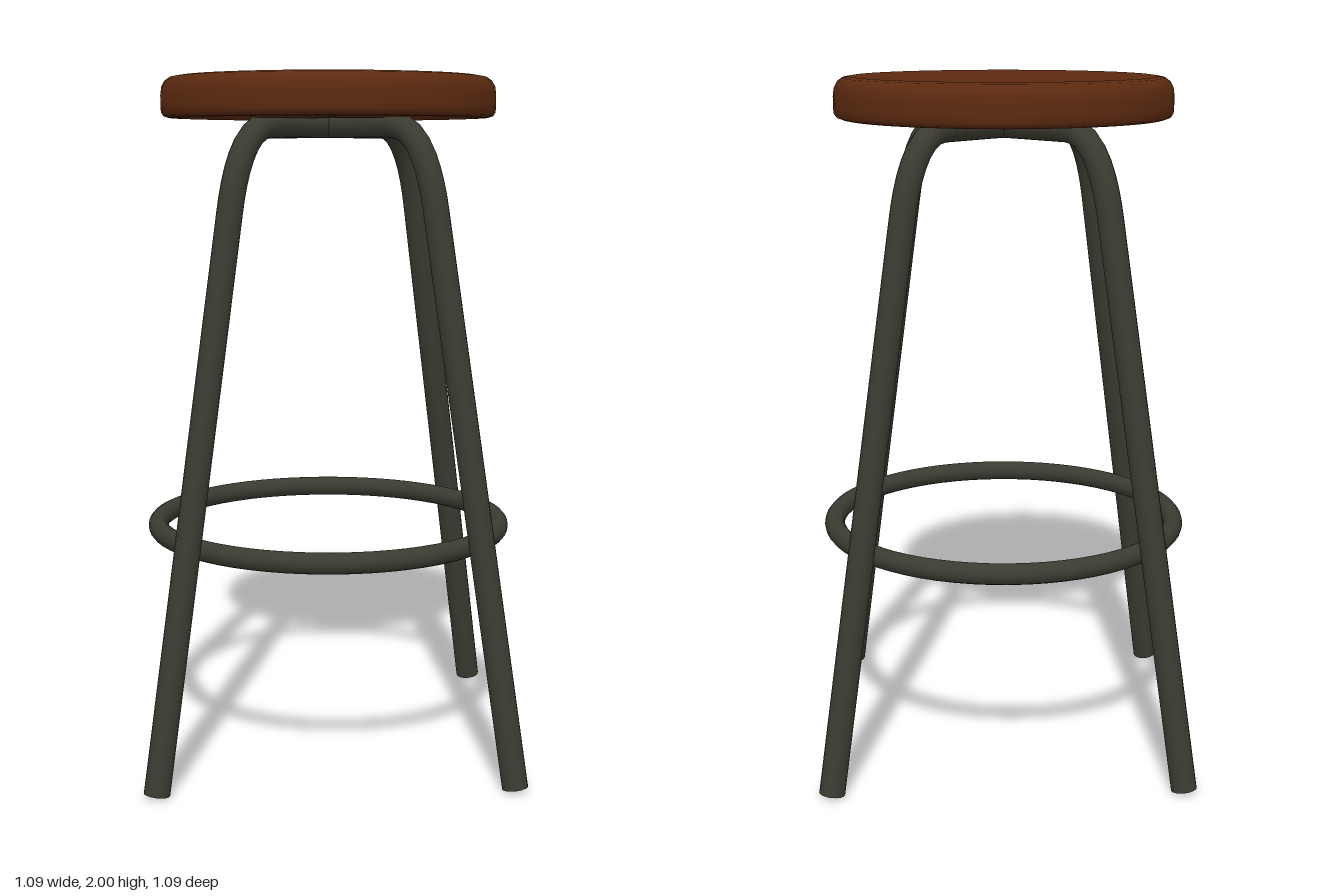
import * as THREE from 'three';

const wood = new THREE.MeshStandardMaterial({ color: 0x5c2a10 });
wood.name = 'brown wood';
const steel = new THREE.MeshStandardMaterial({ color: 0x3b3b32 });
steel.name = 'dark steel';

const TUBE = 0.037;

function add(parent, name, geometry, material) {
  const mesh = new THREE.Mesh(geometry, material);
  mesh.name = name;
  parent.add(mesh);
  return mesh;
}

// Round seat with softened rims and a very slight dish
function seatGeometry() {
  const profile = [
    [0, 1.88], [0.44, 1.88], [0.468, 1.881], [0.482, 1.886], [0.489, 1.897], [0.49, 1.915],
    [0.49, 1.945], [0.487, 1.968], [0.478, 1.985], [0.463, 1.996], [0.44, 2.0], [0.4, 1.998],
    [0.25, 1.993], [0, 1.991],
  ].map(([r, y]) => new THREE.Vector2(r, y));
  return new THREE.LatheGeometry(profile, 64);
}

// One bent tube: foot, bend, bar under the seat, bend, foot
function legPairPath() {
  const p = (x, y) => new THREE.Vector3(x * Math.SQRT2, y, 0);
  const m = (x, y) => p(-x, y);
  const path = new THREE.CurvePath();
  path.add(new THREE.LineCurve3(m(0.505, 0.007), m(0.288, 1.62)));
  path.add(new THREE.QuadraticBezierCurve3(m(0.288, 1.62), m(0.256, 1.86), m(0.17, 1.86)));
  path.add(new THREE.LineCurve3(m(0.17, 1.86), p(0.17, 1.86)));
  path.add(new THREE.QuadraticBezierCurve3(p(0.17, 1.86), p(0.256, 1.86), p(0.288, 1.62)));
  path.add(new THREE.LineCurve3(p(0.288, 1.62), p(0.505, 0.007)));
  return path;
}

export function createModel() {
  const stool = new THREE.Group();
  stool.name = 'stool';

  add(stool, 'seat', seatGeometry(), wood);

  // Two crossing leg frames on the diagonals
  const path = legPairPath();
  const tube = new THREE.TubeGeometry(path, 110, TUBE, 16, false);
  for (const [name, turn] of [['legPairA', Math.PI / 4], ['legPairB', -Math.PI / 4]]) {
    const pair = new THREE.Group();
    pair.name = name;
    pair.rotation.y = turn;
    add(pair, 'legTube', tube, steel);
    // Flat caps closing the feet
    for (const t of [0, 1]) {
      const cap = add(pair, 'footCap', new THREE.CircleGeometry(TUBE, 16), steel);
      const outward = path.getTangent(t).multiplyScalar(t === 0 ? -1 : 1);
      cap.position.copy(path.getPoint(t));
      cap.quaternion.setFromUnitVectors(new THREE.Vector3(0, 0, 1), outward);
    }
    stool.add(pair);
  }

  // Foot ring inside the legs
  const ring = add(stool, 'footRing', new THREE.TorusGeometry(0.516, 0.03, 14, 64), steel);
  ring.rotation.x = Math.PI / 2;
  ring.position.y = 0.67;

  // Dark patches on the underside, front and back
  const outline = [[0.21, -0.35], [0.01, -0.42], [-0.19, -0.3], [-0.04, -0.22], [0.1, -0.165], [0.237, -0.285]];
  const patch = new THREE.ShapeGeometry(new THREE.Shape(outline.map(([x, z]) => new THREE.Vector2(x, z))));
  patch.rotateX(Math.PI / 2);
  for (const [name, turn] of [['backPatch', 0], ['frontPatch', Math.PI]]) {
    const mesh = add(stool, name, patch, steel);
    mesh.rotation.y = turn;
    mesh.position.y = 1.877;
  }

  return stool;
}
